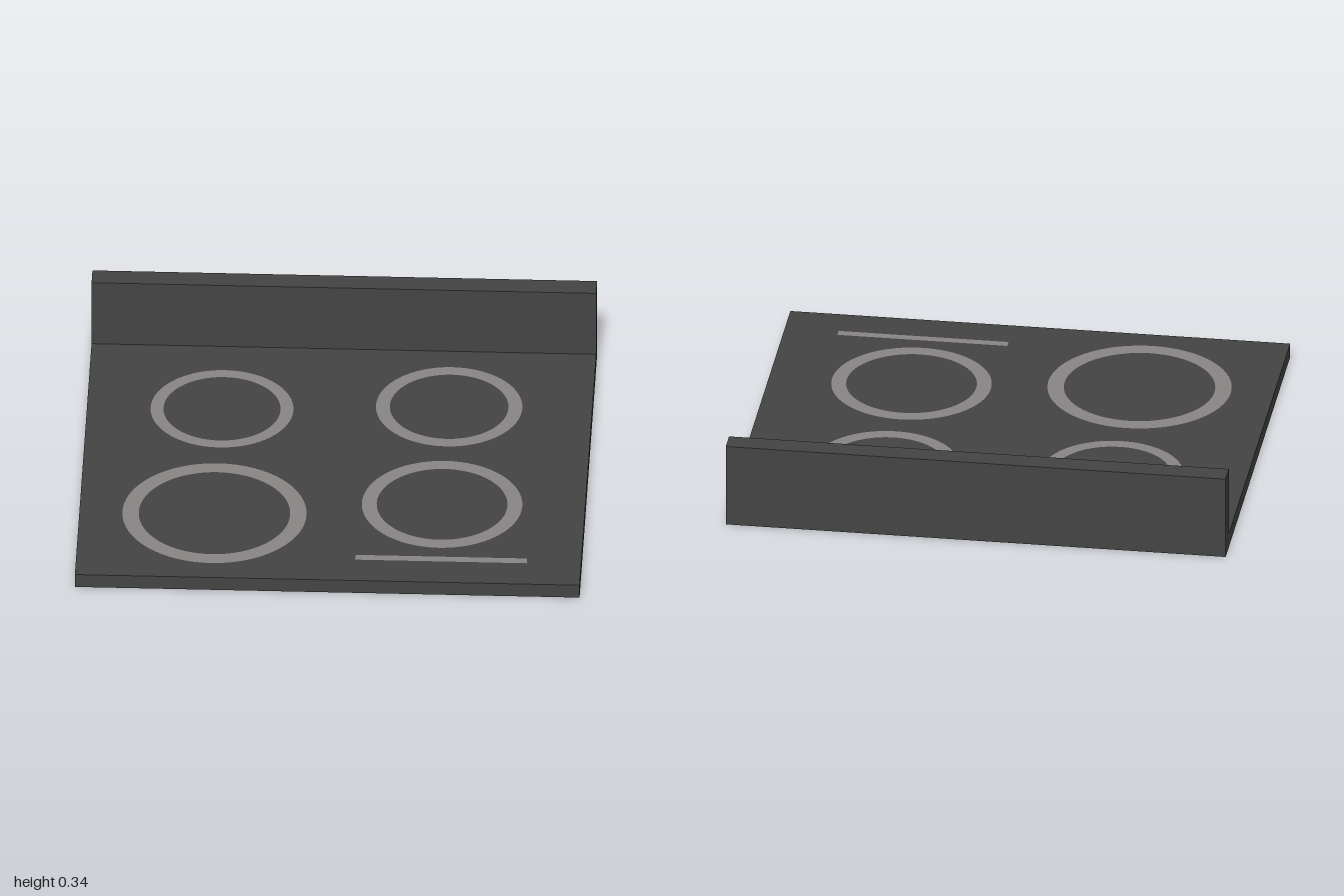
import * as THREE from 'three';

const WIDTH = 2, PLATE_TOP = 0.058;

// Side profile as [z, y], from the front lower edge over the top to the back lower edge
const PROFILE = [
  [0.89, 0], [0.89, PLATE_TOP], [-0.8, PLATE_TOP],
  [-0.8, 0.345], [-0.89, 0.345], [-0.89, 0],
];
const PANEL_NAMES = ['frontEdge', 'cooktopSurface', 'backsplashFront', 'backsplashTop', 'backPanel'];

// x, z, outer radius, inner radius
const BURNERS = {
  backRightBurner: [-0.465, -0.341, 0.283, 0.232],
  backLeftBurner: [0.433, -0.391, 0.29, 0.235],
  frontRightBurner: [-0.465, 0.423, 0.365, 0.3],
  frontLeftBurner: [0.433, 0.323, 0.318, 0.259],
};

export function createModel() {
  const model = new THREE.Group();
  model.name = 'cooktop';
  const body = new THREE.MeshStandardMaterial({ color: 0x444444, side: THREE.DoubleSide });
  const marking = new THREE.MeshStandardMaterial({ color: 0x8a8585, side: THREE.DoubleSide });

  const add = (name, geometry, material, x, y, z) => {
    const mesh = new THREE.Mesh(geometry, material);
    mesh.name = name;
    mesh.position.set(x, y, z);
    model.add(mesh);
  };

  // Shell panels, one along each profile segment; the underside stays open
  PANEL_NAMES.forEach((name, i) => {
    const [z0, y0] = PROFILE[i], [z1, y1] = PROFILE[i + 1];
    const panel = new THREE.PlaneGeometry(WIDTH, Math.hypot(z1 - z0, y1 - y0));
    panel.rotateX(Math.atan2(z1 - z0, y1 - y0));
    add(name, panel, body, 0, (y0 + y1) / 2, (z0 + z1) / 2);
  });

  // L-shaped end panels
  const outline = new THREE.Shape(PROFILE.map(([z, y]) => new THREE.Vector2(z, y)));
  const rightEnd = new THREE.ShapeGeometry(outline).rotateY(-Math.PI / 2);
  add('rightEnd', rightEnd, body, -WIDTH / 2, 0, 0);
  // Mirrored shape turned the other way, so it faces outward
  const mirrored = new THREE.Shape(PROFILE.map(([z, y]) => new THREE.Vector2(-z, y)));
  const leftEnd = new THREE.ShapeGeometry(mirrored).rotateY(Math.PI / 2);
  add('leftEnd', leftEnd, body, WIDTH / 2, 0, 0);

  // Flat burner rings just above the surface
  const markY = PLATE_TOP + 0.002;
  for (const [name, [x, z, outer, inner]] of Object.entries(BURNERS)) {
    add(name, new THREE.RingGeometry(inner, outer, 64).rotateX(-Math.PI / 2), marking, x, markY, z);
  }

  // Control strip near the front edge
  add('controlStrip', new THREE.PlaneGeometry(0.68, 0.035).rotateX(-Math.PI / 2), marking, 0.445, markY, 0.723);

  return model;
}
